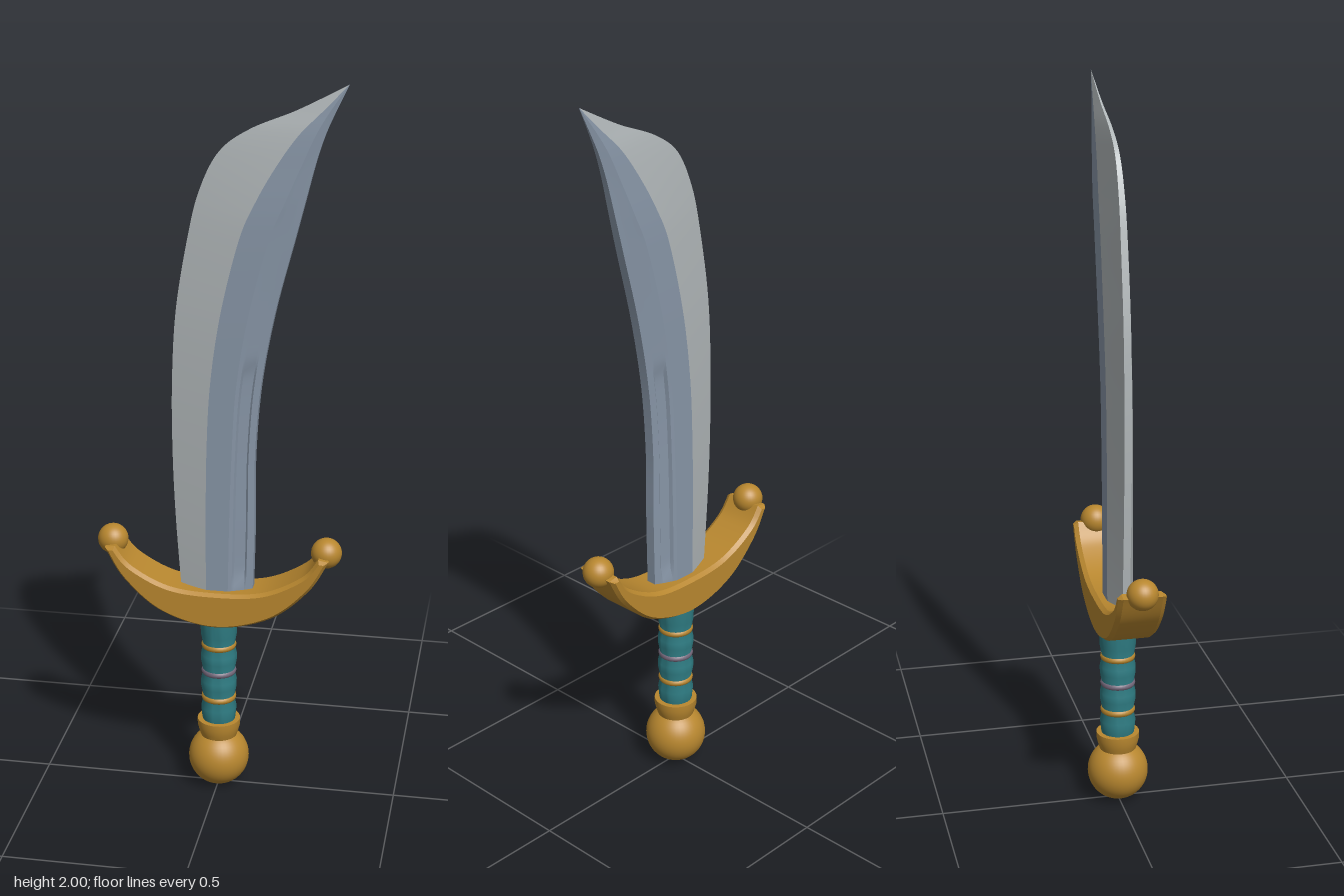
import * as THREE from 'three';
import { toCreasedNormals } from 'three/addons/utils/BufferGeometryUtils.js';

const material = (name, color, side = THREE.FrontSide) => {
  const m = new THREE.MeshStandardMaterial({ color, side });
  m.name = name;
  return m;
};

export function createModel() {
  const gold = material('gold', 0xb8872f);
  const teal = material('teal wrap', 0x2f7d84);
  const mauve = material('mauve band', 0x75697c);
  const steel = material('blue steel', 0x8795a6, THREE.DoubleSide);
  const edge = material('honed edge', 0xb0b6b8, THREE.DoubleSide);

  const sword = new THREE.Group();
  sword.name = 'curvedSword';
  const add = (name, geometry, mat, x = 0, y = 0, z = 0) => {
    const mesh = new THREE.Mesh(geometry, mat);
    mesh.name = name;
    mesh.position.set(x, y, z);
    sword.add(mesh);
    return mesh;
  };
  const spline = (pts) => new THREE.SplineCurve(pts.map(([x, y]) => new THREE.Vector2(x, y)));
  const lathe = (pts) => toCreasedNormals(
    new THREE.LatheGeometry(pts.map(([r, y]) => new THREE.Vector2(r, y)), 32), 0.6);

  // Blade: four lines running from the guard to the tip, and a thickness factor
  const cutting = spline([[-0.1, 0.56], [-0.117, 0.8], [-0.125, 1], [-0.125, 1.2], [-0.113, 1.4],
    [-0.08, 1.6], [-0.05, 1.72], [0, 1.82], [0.08, 1.88], [0.2, 1.932], [0.33, 2]]);
  const ridge = spline([[-0.03, 0.56], [-0.03, 0.8], [-0.028, 1], [-0.018, 1.2], [0.01, 1.4],
    [0.058, 1.6], [0.1, 1.7], [0.15, 1.79], [0.205, 1.87], [0.263, 1.93], [0.33, 2]]);
  const shoulder = spline([[0.03, 0.56], [0.034, 0.8], [0.04, 1], [0.052, 1.2], [0.084, 1.4],
    [0.135, 1.6], [0.175, 1.7], [0.213, 1.79], [0.248, 1.87], [0.282, 1.93], [0.33, 2]]);
  const spine = spline([[0.095, 0.56], [0.1, 0.8], [0.1, 1], [0.115, 1.2], [0.15, 1.4],
    [0.2, 1.6], [0.225, 1.7], [0.25, 1.8], [0.272, 1.87], [0.295, 1.925], [0.33, 2]]);
  const thickness = spline([1, 1, 1, 1, 1, 0.93, 0.82, 0.64, 0.46, 0.25, 0.01].map((v, i) => [i, v]));

  // One long line of the blade surface: position and half thickness at t
  const line = (curve, half) => (t) => {
    const p = curve.getPoint(t);
    return new THREE.Vector3(p.x, p.y, half * thickness.getPoint(t).y);
  };
  const L = line(cutting, 0.01), A = line(ridge, 0.036), B = line(shoulder, 0.036), S = line(spine, 0.014);
  // Groove lines lie between shoulder and spine and sink over part of the length
  const groove = (f, depth) => (t) => {
    const p = B(t).lerp(S(t), f);
    const on = THREE.MathUtils.smoothstep(p.y, 0.62, 0.66) * (1 - THREE.MathUtils.smoothstep(p.y, 1.23, 1.28));
    p.z -= depth * on;
    return p;
  };
  const body = [A, B, groove(0.15, 0), groove(0.22, 0.008), groove(0.65, 0.006), groove(0.73, 0), S];
  const back = (fn) => (t) => fn(t).multiply(new THREE.Vector3(1, 1, -1));

  // Strips keep hard edges between them and smooth normals along the blade
  const strips = (pairs) => {
    const rows = 90, pos = [], index = [];
    for (const [left, right] of pairs) {
      const base = pos.length / 3;
      for (let r = 0; r <= rows; r++) {
        pos.push(...left(r / rows).toArray(), ...right(r / rows).toArray());
        if (r === rows) continue;
        const a = base + r * 2;
        index.push(a, a + 1, a + 3, a, a + 3, a + 2);
      }
    }
    const g = new THREE.BufferGeometry();
    g.setAttribute('position', new THREE.Float32BufferAttribute(pos, 3));
    g.setIndex(index);
    g.computeVertexNormals();
    return g;
  };
  const bodyPairs = [[S, back(S)]];
  for (let i = 0; i < body.length - 1; i++) {
    bodyPairs.push([body[i], body[i + 1]], [back(body[i + 1]), back(body[i])]);
  }
  add('bladeBody', strips(bodyPairs), steel);
  add('bladeEdge', strips([[L, A], [back(A), back(L)], [back(L), L]]), edge);

  // Guard: crescent with bevelled rims and a ball on each horn
  const lower = spline([[-0.308, 0.725], [-0.255, 0.635], [-0.15, 0.545], [0, 0.507],
    [0.15, 0.545], [0.255, 0.635], [0.308, 0.725]]).getPoints(48);
  const upper = spline([[0.28, 0.73], [0.235, 0.675], [0.13, 0.622], [0, 0.61],
    [-0.13, 0.622], [-0.235, 0.675], [-0.28, 0.73]]).getPoints(48);
  const guard = new THREE.ExtrudeGeometry(new THREE.Shape([...lower, ...upper]), {
    depth: 0.106, bevelEnabled: true, bevelThickness: 0.012, bevelSize: 0.008, bevelOffset: -0.008, bevelSegments: 1,
  });
  guard.translate(0, 0, -0.053);
  add('guard', toCreasedNormals(guard, 0.5), gold);
  for (const side of [-1, 1]) {
    add(side > 0 ? 'leftGuardBall' : 'rightGuardBall', new THREE.SphereGeometry(0.042, 32, 20), gold, side * 0.296, 0.73);
  }

  // Grip: swelling wraps pinched at three bands
  add('grip', lathe([[0.043, 0.19], [0.047, 0.21], [0.05, 0.24], [0.043, 0.272], [0.05, 0.305], [0.05, 0.325],
    [0.044, 0.353], [0.05, 0.385], [0.05, 0.405], [0.044, 0.433], [0.05, 0.465], [0.053, 0.53]]), teal);
  [[0.272, gold], [0.353, mauve], [0.433, gold]].forEach(([y, mat], i) => {
    const band = add('gripBand' + (i + 1), new THREE.TorusGeometry(0.038, 0.011, 10, 32), mat, 0, y);
    band.rotation.x = Math.PI / 2;
  });

  // Collar and pommel
  add('collar', lathe([[0, 0.14], [0.05, 0.15], [0.055, 0.165], [0.06, 0.185], [0.06, 0.203], [0, 0.205]]), gold);
  add('pommel', new THREE.SphereGeometry(0.085, 40, 28), gold, 0, 0.085);

  return sword;
}
